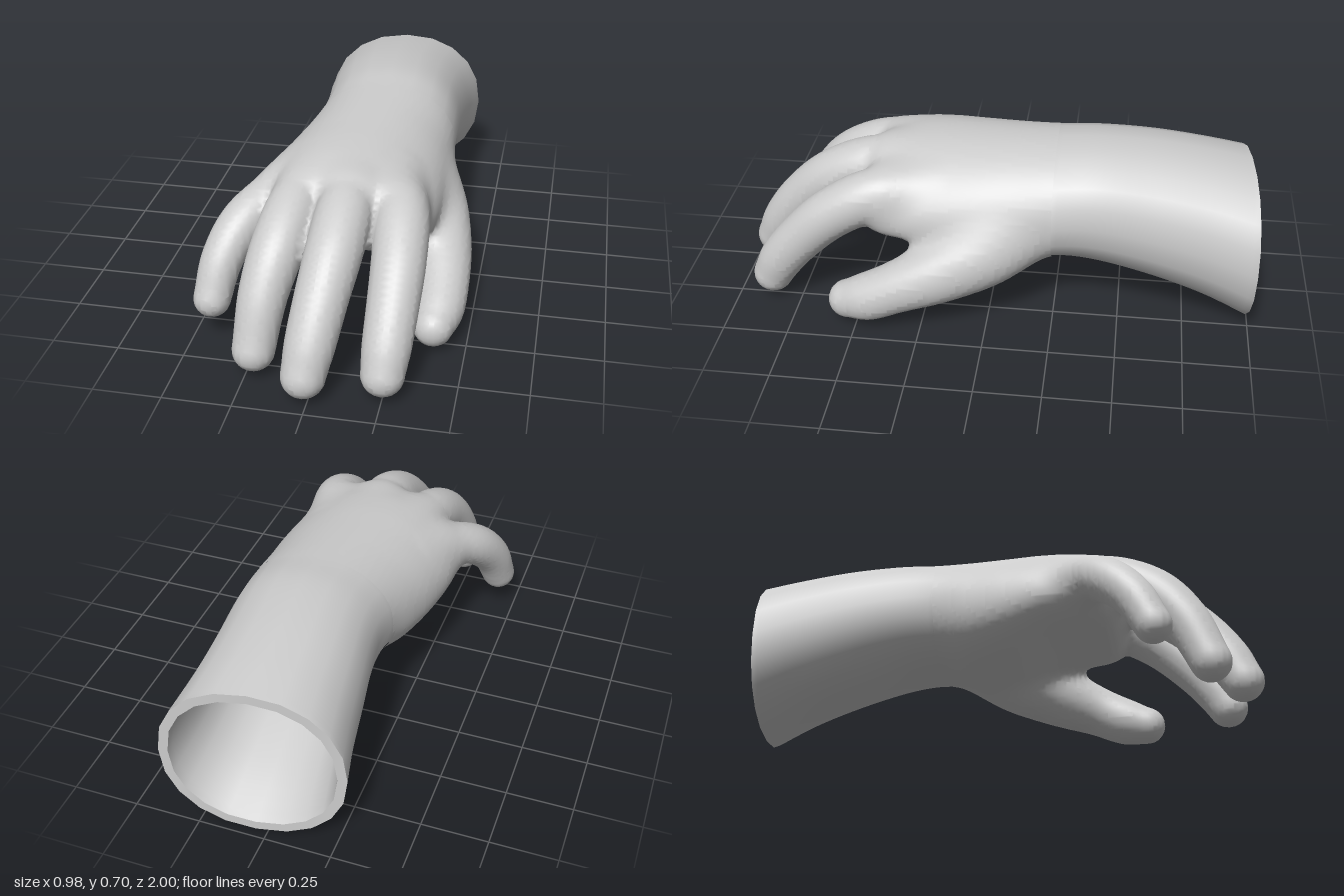
import * as THREE from 'three';

const material = new THREE.MeshStandardMaterial({ color: 0xcccccc, roughness: 0.8 });
const SIDES = 20, POWER = 0.92, CELL = 0.02, WALL = 0.035;

// Cross-sections: z, left x, right x, top y, bottom y, sag of the sides, slant of the cut.
const body = [
  [-0.965, -0.29, 0.38, 0.63, 0.0, 0, 0.104],
  [-0.8, -0.262, 0.355, 0.66, 0.08, 0, 0.07],
  [-0.6, -0.237, 0.345, 0.687, 0.155, 0, 0.03],
  [-0.4, -0.212, 0.35, 0.70, 0.215, 0, 0],
  [-0.25, -0.22, 0.355, 0.69, 0.23, 0.01, 0],
  [-0.1, -0.26, 0.365, 0.68, 0.205, 0.03, 0],
  [0.05, -0.3, 0.37, 0.67, 0.225, 0.045, 0],
  [0.2, -0.328, 0.36, 0.66, 0.275, 0.06, 0],
  [0.32, -0.32, 0.345, 0.645, 0.305, 0.065, 0],
  [0.42, -0.25, 0.32, 0.615, 0.32, 0.055, 0],
  [0.47, -0.15, 0.25, 0.56, 0.36, 0.03, 0],
  [0.505, 0.02, 0.08, 0.49, 0.43, 0, 0],
];

// Fingers and thumb from root to tip: x, y, z, radius.
const digits = [
  [ // little finger
    [-0.18, 0.5, 0.15, 0.06], [-0.25, 0.47, 0.3, 0.08], [-0.345, 0.4, 0.44, 0.084],
    [-0.4, 0.295, 0.54, 0.077], [-0.425, 0.165, 0.607, 0.069],
  ],
  [ // ring finger
    [-0.11, 0.53, 0.25, 0.06], [-0.14, 0.505, 0.42, 0.095], [-0.168, 0.42, 0.6, 0.098],
    [-0.2, 0.28, 0.72, 0.088], [-0.22, 0.1, 0.8, 0.077],
  ],
  [ // middle finger
    [0.04, 0.54, 0.27, 0.06], [0.045, 0.52, 0.45, 0.1], [0.04, 0.445, 0.63, 0.102],
    [0.02, 0.325, 0.77, 0.095], [0, 0.2, 0.865, 0.089], [-0.015, 0.1, 0.917, 0.079],
  ],
  [ // index finger
    [0.2, 0.52, 0.22, 0.06], [0.24, 0.495, 0.42, 0.098], [0.26, 0.405, 0.6, 0.097],
    [0.26, 0.285, 0.73, 0.091], [0.255, 0.18, 0.815, 0.086], [0.25, 0.1, 0.86, 0.077],
  ],
  [ // thumb
    [0.22, 0.39, -0.17, 0.1], [0.28, 0.32, -0.01, 0.145], [0.35, 0.24, 0.17, 0.124],
    [0.387, 0.175, 0.33, 0.1], [0.39, 0.12, 0.45, 0.092], [0.38, 0.095, 0.532, 0.074],
  ],
];

// Smoothly interpolates rows of numbers, t from 0 to 1.
function sampleRows(rows, t) {
  const f = t * (rows.length - 1), i = Math.min(Math.floor(f), rows.length - 2), u = f - i;
  const row = (k) => rows[Math.max(0, Math.min(rows.length - 1, k))];
  return rows[0].map((_, c) => {
    const [p0, p1, p2, p3] = [row(i - 1)[c], row(i)[c], row(i + 1)[c], row(i + 2)[c]];
    const m1 = (p2 - p0) / 2, m2 = (p3 - p1) / 2;
    return p1 + u * (m1 + u * (3 * (p2 - p1) - 2 * m1 - m2 + u * (2 * (p1 - p2) + m1 + m2)));
  });
}

// One closed loop around the forearm.
function section([z, x0, x1, top, bottom, sag, slant], inset = 0) {
  const w = (x1 - x0) / 2 - inset, h = (top - bottom) / 2 - inset;
  return Array.from({ length: SIDES }, (_, j) => {
    const a = (j / SIDES) * Math.PI * 2, c = Math.cos(a), s = Math.sin(a);
    const x = (x0 + x1) / 2 + w * Math.sign(c) * Math.abs(c) ** POWER;
    const y = (top + bottom) / 2 + h * Math.sign(s) * Math.abs(s) ** POWER - sag * c * c;
    return new THREE.Vector3(x, y, z - slant * (x - 0.045));
  });
}

function makeMesh(name, points, index) {
  const geometry = new THREE.BufferGeometry().setFromPoints(points);
  geometry.setIndex(index);
  geometry.computeVertexNormals();
  const mesh = new THREE.Mesh(geometry, material);
  mesh.name = name;
  return mesh;
}

// Skins a list of closed loops.
function skin(name, loops) {
  const index = [];
  for (let i = 0; i < loops.length - 1; i++) {
    for (let j = 0; j < SIDES; j++) {
      const a = i * SIDES + j, b = i * SIDES + ((j + 1) % SIDES);
      index.push(a, b, a + SIDES, b, b + SIDES, a + SIDES);
    }
  }
  return makeMesh(name, loops.flat(), index);
}

// Signed distance to the palm, from its cross-section at that depth.
function palmField() {
  const z0 = -0.3, z1 = body[body.length - 1][0], count = 200;
  const table = Array.from({ length: count + 1 }, (_, i) => {
    const z = z0 + ((z1 - z0) * i) / count;
    let lo = 0, hi = 1;
    for (let n = 0; n < 30; n++) {
      const mid = (lo + hi) / 2;
      if (sampleRows(body, mid)[0] < z) lo = mid; else hi = mid;
    }
    return sampleRows(body, hi);
  });
  return (p) => {
    const f = THREE.MathUtils.clamp((p.z - z0) / (z1 - z0), 0, 1) * count;
    const i = Math.min(Math.floor(f), count - 1);
    const [, x0, x1, top, bottom, sag] = table[i].map((v, c) => v + (table[i + 1][c] - v) * (f - i));
    const w = (x1 - x0) / 2, h = (top - bottom) / 2, n = 2 / POWER;
    const qx = Math.abs(p.x - (x0 + x1) / 2) / w;
    const qy = Math.abs(p.y - (top + bottom) / 2 + sag * Math.min(qx, 1) ** n) / h;
    const k = (qx ** n + qy ** n) ** (1 / n);
    const d = ((k - 1) * k) / (Math.hypot(qx / w, qy / h) + 1e-6);
    return p.z > z1 ? Math.hypot(Math.max(d, 0), p.z - z1) : d;
  };
}

// Signed distance to a bent, tapering finger with a round tip.
function digitField(points) {
  const curve = new THREE.CatmullRomCurve3(points.map((p) => new THREE.Vector3(p[0], p[1], p[2])));
  const steps = 40, nodes = [];
  for (let i = 0; i <= steps; i++) nodes.push([curve.getPoint(i / steps), sampleRows(points, i / steps)[3]]);
  const ab = new THREE.Vector3(), ap = new THREE.Vector3();
  return (p) => {
    let best = Infinity;
    for (let i = 0; i < steps; i++) {
      const [a, ra] = nodes[i], [b, rb] = nodes[i + 1];
      ab.subVectors(b, a);
      ap.subVectors(p, a);
      const u = THREE.MathUtils.clamp(ap.dot(ab) / ab.lengthSq(), 0, 1);
      best = Math.min(best, ap.addScaledVector(ab, -u).length() - ra - (rb - ra) * u);
    }
    return best;
  };
}

// Joins two distances with a soft fillet.
const blend = (a, b, soft) => Math.min(a, b) - (Math.max(soft - Math.abs(a - b), 0) ** 2) / (4 * soft);

// Wraps a grid of quads around the zero level of a field, then settles the points onto it.
function wrapField(name, field, min, size) {
  const stride = [1, size[0], size[0] * size[1]], total = stride[2] * size[2];
  const values = new Float32Array(total), cellPoint = new Int32Array(total).fill(-1);
  const place = (i, j, k) => new THREE.Vector3(i, j, k).multiplyScalar(CELL).add(min);
  const each = (visit) => {
    for (let k = 0; k < size[2]; k++) for (let j = 0; j < size[1]; j++) for (let i = 0; i < size[0]; i++) {
      visit([i, j, k], i + j * stride[1] + k * stride[2]);
    }
  };
  each((c, id) => { values[id] = field(place(...c)); });

  const points = [], index = [];
  each((c, id) => {
    if (c.some((v, a) => v === size[a] - 1)) return;
    let inside = 0;
    for (let n = 0; n < 8; n++) {
      if (values[id + (n & 1) + ((n >> 1) & 1) * stride[1] + (n >> 2) * stride[2]] < 0) inside++;
    }
    if (inside === 0 || inside === 8) return;
    const p = place(c[0] + 0.5, c[1] + 0.5, c[2] + 0.5);
    for (let n = 0; n < 3; n++) {
      const f = field(p), e = 0.002;
      const g = new THREE.Vector3(
        field(p.clone().setX(p.x + e)) - f,
        field(p.clone().setY(p.y + e)) - f,
        field(p.clone().setZ(p.z + e)) - f,
      ).divideScalar(e);
      p.add(g.multiplyScalar(-f / Math.max(g.lengthSq(), 0.1)).clampLength(0, CELL * 0.6));
    }
    cellPoint[id] = points.push(p) - 1;
  });
  each((c, id) => {
    for (let a = 0; a < 3; a++) {
      const b = (a + 1) % 3, d = (a + 2) % 3;
      if (c[a] === size[a] - 1 || c[b] === 0 || c[d] === 0) continue;
      const start = values[id] < 0;
      if (start === values[id + stride[a]] < 0) continue;
      const q = [id - stride[b] - stride[d], id - stride[d], id, id - stride[b]].map((n) => cellPoint[n]);
      if (q.includes(-1)) continue;
      if (!start) q.reverse();
      index.push(q[0], q[1], q[2], q[0], q[2], q[3]);
    }
  });
  return makeMesh(name, points, index);
}

export function createModel() {
  const hand = new THREE.Group();
  hand.name = 'hand';

  // Forearm up to the wrist, with its cut rim and hollow lining
  const outer = [], lining = [section([-0.38, 0.069, 0.071, 0.456, 0.454, 0, 0])];
  for (let i = 0; i <= 20; i++) outer.push(section(sampleRows(body, ((i / 20) * 4.15) / 11)));
  for (let i = 12; i >= 0; i--) lining.push(section(sampleRows(body, ((i / 12) * 3) / 11), WALL));
  hand.add(skin('forearm', outer));
  hand.add(skin('wristRim', [section(body[0], WALL), section(body[0])]));
  hand.add(skin('forearmLining', lining));

  // Palm with the fingers and thumb flowing out of it
  const palm = palmField(), fingers = digits.map(digitField);
  const field = (p) => blend(palm(p), fingers.map((f) => f(p)).reduce((a, b) => blend(a, b, 0.02)), 0.06);
  hand.add(wrapField('palmAndFingers', field, new THREE.Vector3(-0.56, -0.04, -0.25), [57, 41, 66]));
  return hand;
}
